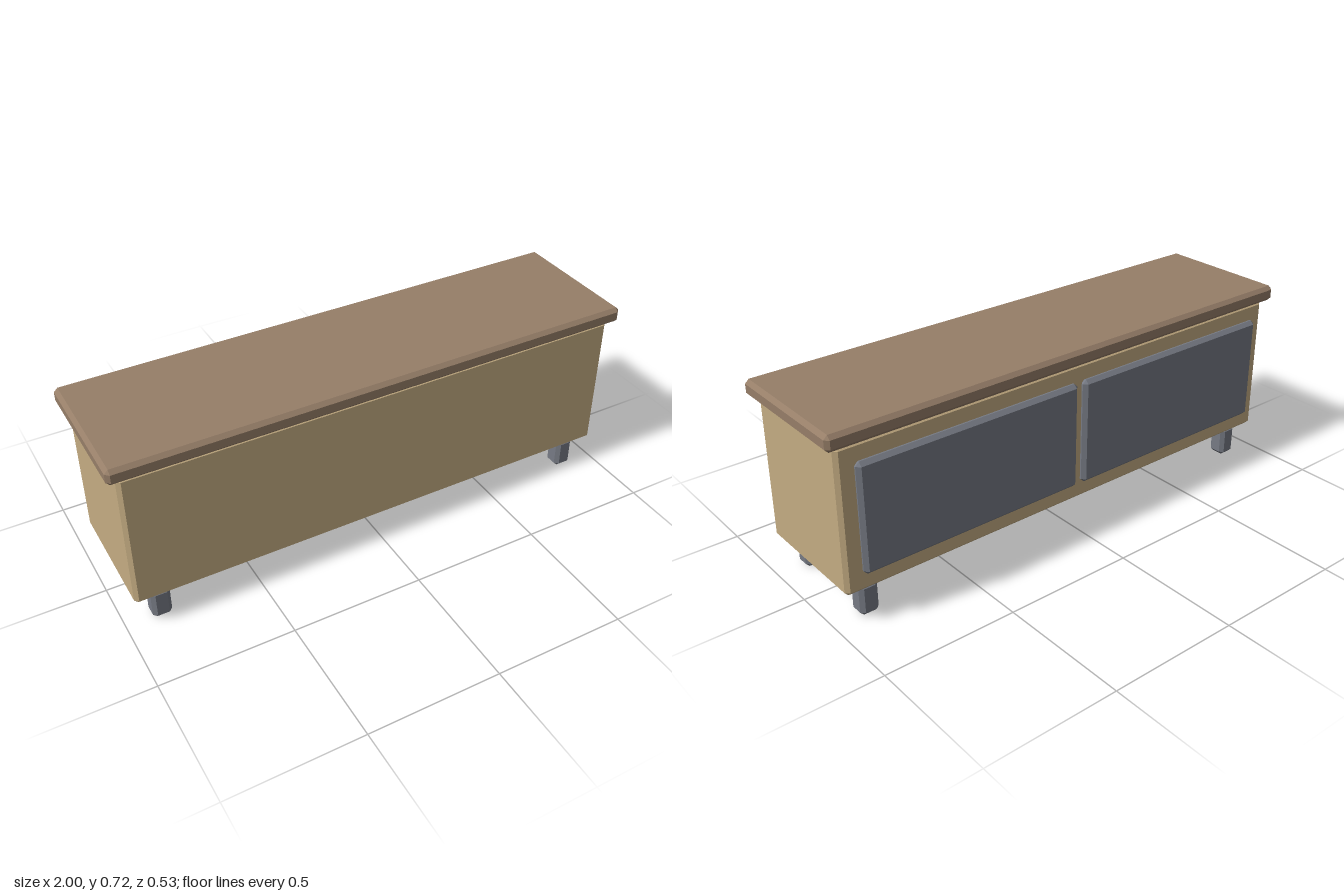
import * as THREE from 'three';
import { ConvexGeometry } from 'three/addons/geometries/ConvexGeometry.js';

const BEVEL = 0.014;

const material = (color) => new THREE.MeshStandardMaterial({ color, flatShading: true });

// Box with a single flat chamfer on every edge, given its min and max corners.
function chamferBox(name, min, max, mat) {
  const half = min.map((v, i) => (max[i] - v) / 2);
  const points = [];
  for (const sx of [-1, 1]) for (const sy of [-1, 1]) for (const sz of [-1, 1]) {
    const sign = [sx, sy, sz];
    // each corner is cut into three points, one on each adjoining face
    for (let face = 0; face < 3; face++) {
      const p = half.map((h, i) => sign[i] * (i === face ? h : h - BEVEL));
      points.push(new THREE.Vector3(...p));
    }
  }
  const mesh = new THREE.Mesh(new ConvexGeometry(points), mat);
  mesh.position.set(...min.map((v, i) => (v + max[i]) / 2));
  mesh.name = name;
  return mesh;
}

export function createModel() {
  const group = new THREE.Group();
  group.name = 'sideboard';
  const lightWood = material(0xc4ac82);
  const darkWood = material(0x967e68);
  const grey = material(0x767a84);

  // Cabinet and overhanging top
  group.add(chamferBox('cabinetBody', [-0.965, 0.122, -0.238], [0.965, 0.665, 0.245], lightWood));
  group.add(chamferBox('topBoard', [-1, 0.664, -0.261], [1, 0.724, 0.268], darkWood));

  // Two door panels on the back side (-z)
  for (const [name, x0, x1] of [['leftDoor', 0.013, 0.905], ['rightDoor', -0.905, -0.013]]) {
    group.add(chamferBox(name, [x0, 0.194, -0.266], [x1, 0.603, -0.232], grey));
  }

  // Four short legs
  const r = 0.0355;
  for (const [side, x] of [['Left', 0.866], ['Right', -0.866]]) {
    for (const [end, z] of [['front', 0.185], ['back', -0.177]]) {
      group.add(chamferBox(`${end}${side}Leg`, [x - r, 0, z - r], [x + r, 0.122, z + r], grey));
    }
  }
  return group;
}
